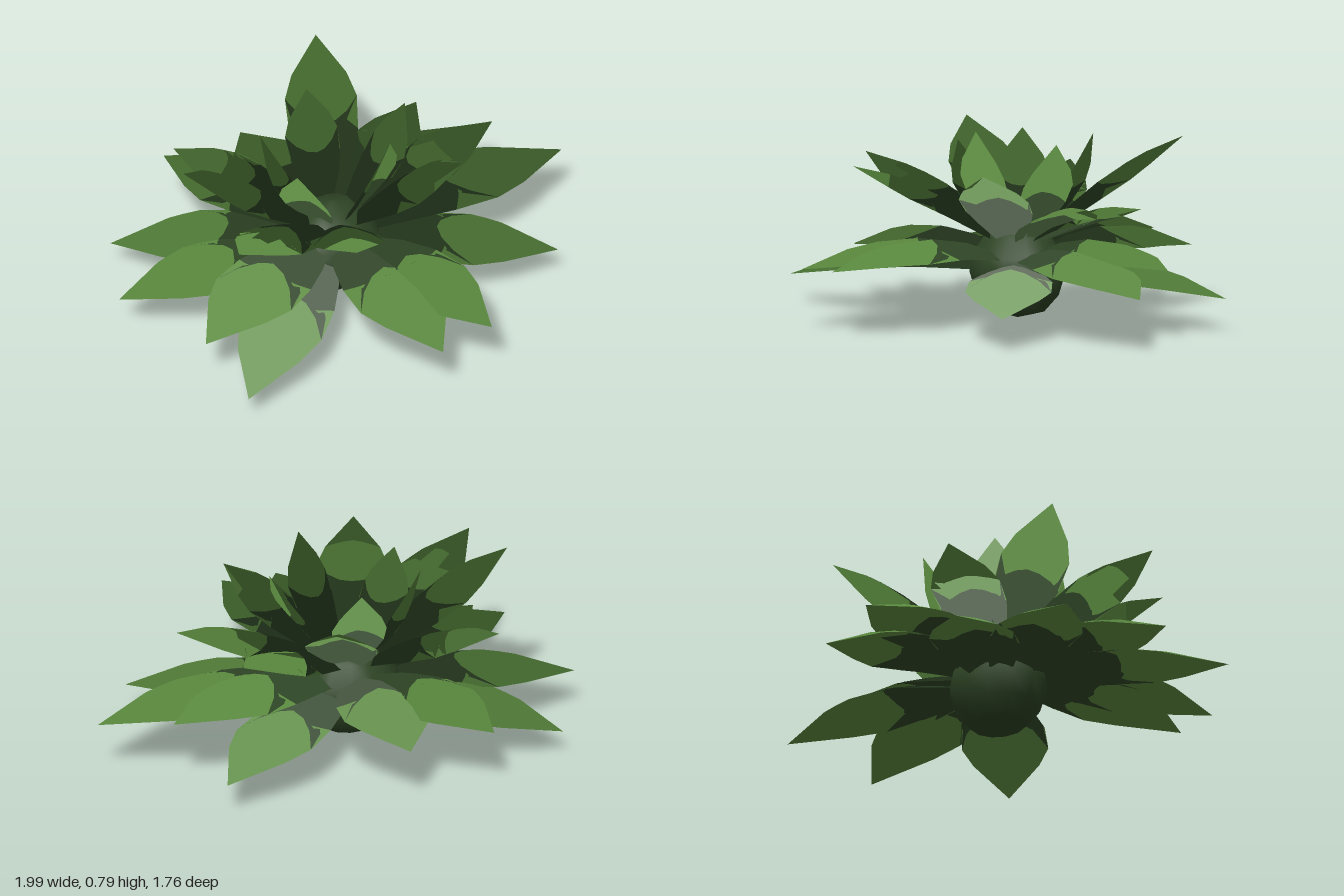
import * as THREE from 'three';

const CX = -0.08, CZ = -0.06; // plant axis
const UP = new THREE.Vector3(0, 1, 0);

const tipGreen = new THREE.MeshStandardMaterial({ color: 0x5c8c40, side: THREE.DoubleSide });
tipGreen.name = 'leafGreen';
const baseGreen = new THREE.MeshStandardMaterial({ color: 0x2f4626, side: THREE.DoubleSide });
baseGreen.name = 'darkGreen';

// Leaf outline: [position along leaf, share of the half width]
const OUTLINE = [[0, 0.3], [0.22, 0.72], [0.46, 1], [0.6, 0.97], [0.75, 0.74], [1, 0]];
// Rows of each face: [position on the midrib, shift towards the tip at the edges]
const TOP_ROWS = [[0, 0], [0.22, 0.14], [0.42, 0.18], [0.62, 0.06], [0.75, 0], [1, 0]];
const UNDER_ROWS = [[0, 0], [0.22, 0], [0.48, -0.08], [0.6, 0], [0.75, 0], [1, 0]];
const DARK_ROWS = 2; // rows painted with the dark base colour
const COLS = 6;
const THICKNESS = 0.006;

function widthAt(t) {
  for (let i = 1; i < OUTLINE.length; i++) {
    const [t0, w0] = OUTLINE[i - 1], [t1, w1] = OUTLINE[i];
    if (t <= t1) return w0 + (w1 - w0) * (t - t0) / (t1 - t0);
  }
  return 0;
}

// One face of an arched leaf, from the stem to its tip, its sides folded down from the midrib
function leafFace(tip, { baseY, width, lift, out, fold, rise }, under) {
  const end = new THREE.Vector3(...tip);
  const dir = new THREE.Vector3(end.x - CX, 0, end.z - CZ).normalize();
  const side = new THREE.Vector3(dir.z, 0, -dir.x);
  const start = new THREE.Vector3(CX, baseY, CZ).addScaledVector(dir, 0.07);
  const mid = start.clone().lerp(end, 0.5).addScaledVector(dir, out);
  mid.y += lift;
  const spine = new THREE.QuadraticBezierCurve3(start, mid, end);
  const shade = dir.clone().addScaledVector(UP, rise).normalize(); // soft foliage normal
  const rows = under ? UNDER_ROWS : TOP_ROWS;
  const pos = [], normal = [], index = [];
  for (const [row, shift] of rows) {
    for (let c = 0; c <= COLS; c++) {
      const u = c / COLS * 2 - 1;
      const t = row + shift * u * u;
      const w = width * widthAt(t);
      const down = spine.getTangent(t).cross(side);
      if (down.y > 0) down.negate();
      const depth = under ? THICKNESS * (1 - u * u) * (1 - t) : 0;
      const p = spine.getPoint(t).addScaledVector(side, u * w)
        .addScaledVector(down, fold * w * Math.abs(u) ** 1.4 + depth);
      pos.push(p.x, p.y, p.z);
      normal.push(shade.x, shade.y, shade.z);
    }
  }
  const n = COLS + 1;
  const tri = (a, b, c) => under ? index.push(a, c, b) : index.push(a, b, c);
  for (let r = 0; r < rows.length - 1; r++) {
    for (let c = 0; c < COLS; c++) {
      const a = r * n + c, b = a + 1, d = a + n, e = d + 1;
      tri(a, d, b);
      if (r < rows.length - 2) tri(b, d, e);
    }
  }
  const g = new THREE.BufferGeometry();
  g.setAttribute('position', new THREE.Float32BufferAttribute(pos, 3));
  g.setAttribute('normal', new THREE.Float32BufferAttribute(normal, 3));
  g.setIndex(index);
  const split = DARK_ROWS * COLS * 6;
  g.addGroup(0, split, 0);
  g.addGroup(split, index.length - split, 1);
  return g;
}

// Rings of leaves, given by their tips
const RINGS = [
  { name: 'droopingLeaf', baseY: 0.21, width: 0.18, lift: 0.17, out: 0, fold: 0.32, rise: 0.75, tips: [
    [-1, 0.11, 0.37], [-0.63, 0.11, -0.77], [0.79, 0.14, -0.43], [0.58, 0.13, 0.57], [-0.93, 0.16, -0.43]] },
  { name: 'outerLeaf', baseY: 0.26, width: 0.19, lift: 0.19, out: 0, fold: 0.36, rise: 0.75, tips: [
    [-0.95, 0.21, 0.08], [-0.21, 0.27, -0.88], [0.14, 0.25, -0.79], [0.82, 0.29, -0.1],
    [0.99, 0.22, 0.19], [-0.12, 0.27, 0.88], [-0.36, 0.25, 0.84]] },
  { name: 'upperLeaf', baseY: 0.32, width: 0.15, lift: 0.11, out: 0, fold: 0.34, rise: 0.3, tips: [
    [-0.81, 0.61, 0.13], [-0.69, 0.73, -0.3], [-0.42, 0.55, -0.62], [0.35, 0.74, -0.57],
    [0.54, 0.5, -0.19], [0.62, 0.54, 0.16], [0.23, 0.65, 0.38], [-0.48, 0.62, 0.47]] },
  { name: 'innerLeaf', baseY: 0.35, width: 0.115, lift: 0, out: 0.02, fold: 0.3, rise: 0.4, tips: [
    [-0.02, 0.79, 0.21], [0.26, 0.75, 0.02], [0.06, 0.74, -0.34], [-0.29, 0.73, -0.26], [-0.36, 0.7, 0.02]] },
];

export function createModel() {
  const model = new THREE.Group();
  model.name = 'succulent';

  // Rounded stem base
  const profile = [[0, 0], [0.12, 0.03], [0.185, 0.1], [0.215, 0.19], [0.2, 0.26], [0.14, 0.34], [0.08, 0.38], [0, 0.4]]
    .map(([r, y]) => new THREE.Vector2(r, y));
  const stem = new THREE.Mesh(new THREE.LatheGeometry(profile, 12), baseGreen);
  stem.name = 'stemBase';
  stem.position.set(CX, 0, CZ);
  stem.scale.z = 0.88;
  model.add(stem);

  for (const ring of RINGS) {
    for (const tip of ring.tips) {
      const leaf = new THREE.Group();
      leaf.name = ring.name;
      for (const under of [false, true]) {
        const face = new THREE.Mesh(leafFace(tip, ring, under), [baseGreen, tipGreen]);
        face.name = under ? 'leafUnderside' : 'leafTop';
        leaf.add(face);
      }
      model.add(leaf);
    }
  }
  return model;
}
